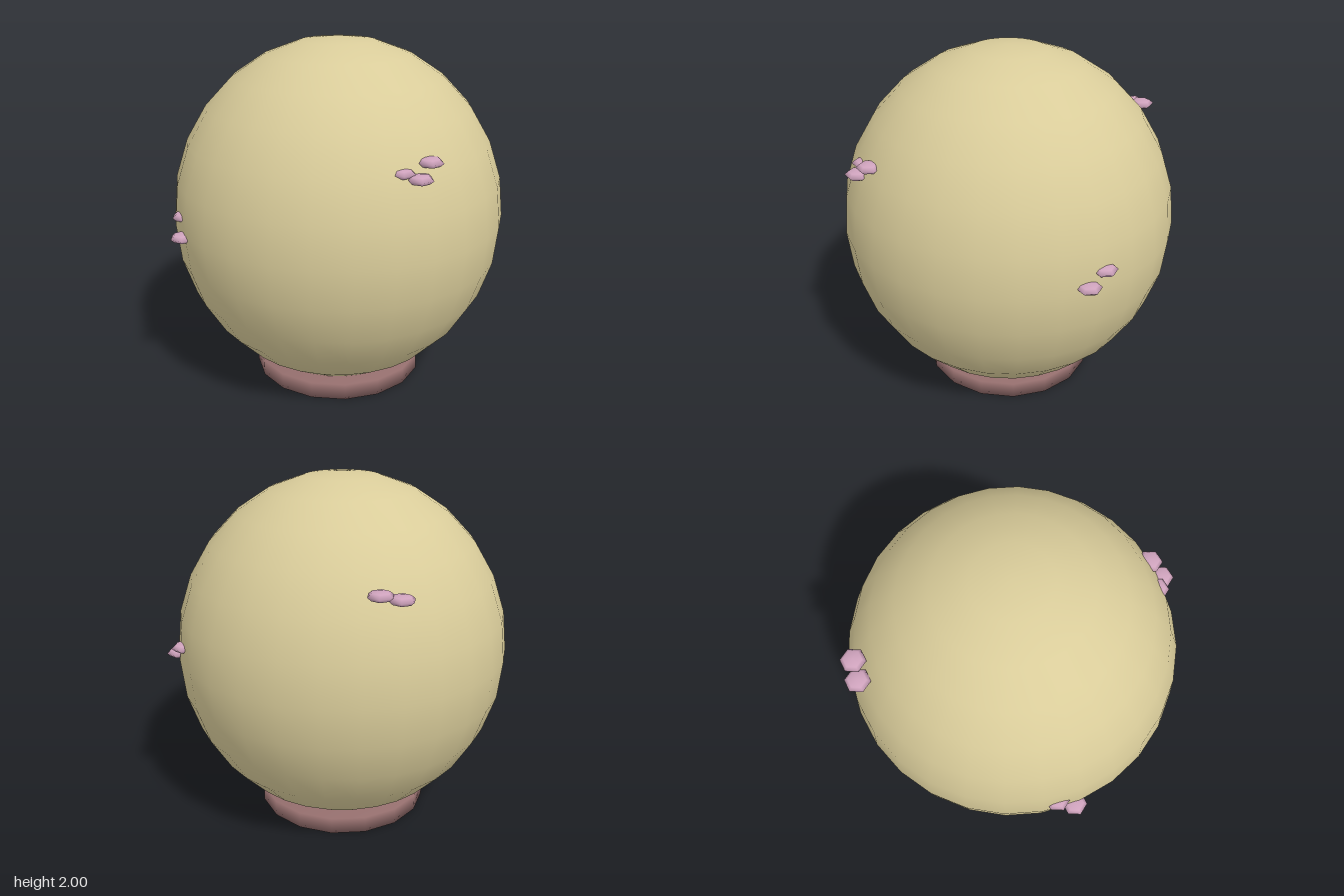
import * as THREE from 'three';
import { mergeVertices } from 'three/addons/utils/BufferGeometryUtils.js';

// Share normals across every edge for soft shading
function soften(geometry) {
  geometry.deleteAttribute('normal');
  geometry.deleteAttribute('uv');
  const merged = mergeVertices(geometry, 1e-4);
  merged.computeVertexNormals();
  return merged;
}

export function createModel() {
  const model = new THREE.Group();
  const cream = new THREE.MeshStandardMaterial({ name: 'cream', color: 0xd9cc9a });
  const brown = new THREE.MeshStandardMaterial({ name: 'dustyBrown', color: 0x936d6c });
  const pink = new THREE.MeshStandardMaterial({ name: 'mauvePink', color: 0xcfa3bd });

  const add = (name, geometry, material, parent = model) => {
    const mesh = new THREE.Mesh(geometry, material);
    mesh.name = name;
    parent.add(mesh);
    return mesh;
  };

  // Slightly tall globe, its lower pole sunk into the base
  const globe = add('globe', new THREE.SphereGeometry(1, 28, 14), cream);
  globe.scale.set(0.95, 1, 0.95);
  globe.position.y = 1;

  // Low round base
  const base = add('base', soften(new THREE.CylinderGeometry(0.5, 0.5, 0.095, 16)), brown);
  base.position.y = 0.0475;

  // Clusters of flattened six-sided petals set into the globe
  const petal = new THREE.SphereGeometry(0.07, 6, 4);
  petal.rotateY(Math.PI / 2);
  petal.scale(1, 0.38, 1);
  const clusters = {
    frontLeftPetals: [[0.39, 1.48, 0.74], [0.33, 1.415, 0.81], [0.245, 1.44, 0.78]],
    backRightPetals: [[-0.28, 1.545, -0.81], [-0.38, 1.52, -0.78]],
    rightPetals: [[-0.865, 1.07, 0.285], [-0.87, 0.985, 0.385]],
    leftPetals: [[0.82, 1.09, -0.43], [0.88, 1.025, -0.345]],
  };
  for (const [name, spots] of Object.entries(clusters)) {
    const group = new THREE.Group();
    group.name = name;
    model.add(group);
    for (const spot of spots) add('petal', petal, pink, group).position.set(...spot);
  }
  return model;
}
